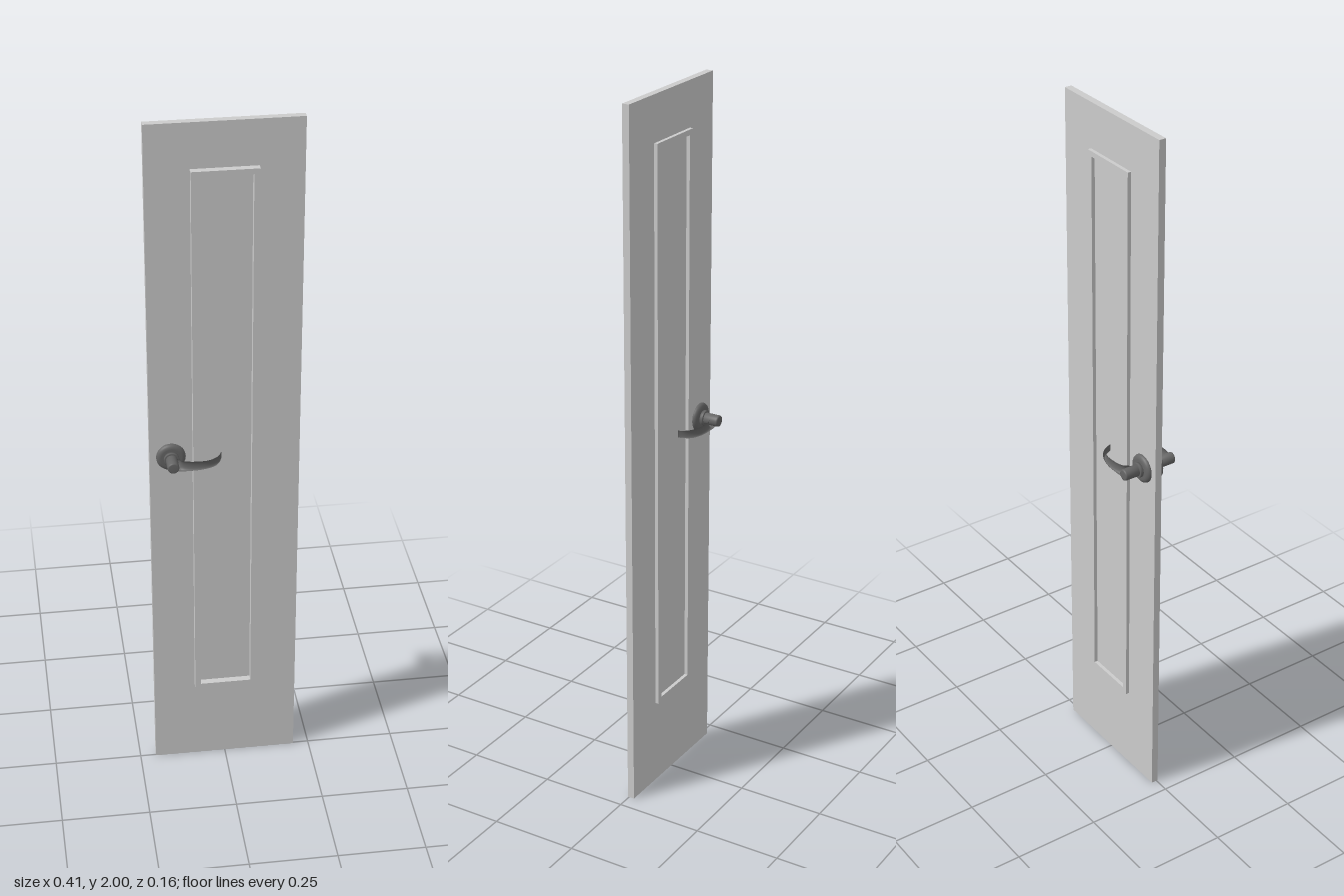
import * as THREE from 'three';

const doorMat = new THREE.MeshStandardMaterial({ color: 0xcccccc });
const metalMat = new THREE.MeshStandardMaterial({ color: 0x666666 });

function addMesh(parent, name, geometry, material) {
  const mesh = new THREE.Mesh(geometry, material);
  mesh.name = name;
  parent.add(mesh);
  return mesh;
}

// Closed loft through elliptical sections: each row is
// [outer x, outer z, inner x, inner z, half height]
function loft(rows, steps, sides) {
  const curve = (i, j) => new THREE.CatmullRomCurve3(
    rows.map(r => new THREE.Vector3(r[i], r[4], r[j])), false, 'centripetal');
  const outer = curve(0, 1), inner = curve(2, 3);
  const pos = [], index = [];
  for (let s = 0; s <= steps; s++) {
    const o = outer.getPoint(s / steps), n = inner.getPoint(s / steps);
    for (let k = 0; k < sides; k++) {
      const a = k / sides * Math.PI * 2;
      const t = (1 + Math.cos(a)) / 2;
      pos.push(n.x + (o.x - n.x) * t, Math.sin(a) * o.y, n.z + (o.z - n.z) * t);
    }
  }
  for (let s = 0; s < steps; s++) {
    for (let k = 0; k < sides; k++) {
      const a = s * sides + k, b = s * sides + (k + 1) % sides;
      index.push(a, b, a + sides, b, b + sides, a + sides);
    }
  }
  const end = steps * sides;
  for (let k = 1; k < sides - 1; k++) {
    index.push(0, k + 1, k, end, end + k, end + k + 1);
  }
  const g = new THREE.BufferGeometry();
  g.setAttribute('position', new THREE.Float32BufferAttribute(pos, 3));
  g.setIndex(index);
  g.computeVertexNormals();
  return g;
}

// Turned part whose axis runs along +z; profile is [radius, z]
function turned(profile) {
  const g = new THREE.LatheGeometry(profile.map(p => new THREE.Vector2(p[0], p[1])), 40);
  return g.rotateX(Math.PI / 2);
}

function createHandle(name) {
  const handle = new THREE.Group();
  handle.name = name;

  // Round plate with a soft rim
  const plate = addMesh(handle, 'rosette', turned([
    [0, 0.010], [0.034, 0.010], [0.038, 0.012], [0.040, 0.016], [0.040, 0.019],
    [0.038, 0.023], [0.034, 0.026], [0.028, 0.028], [0, 0.028]]), metalMat);
  // Stepped collar between plate and hub
  const collar = addMesh(handle, 'collar', turned([
    [0, 0.026], [0.021, 0.026], [0.021, 0.035], [0.019, 0.037], [0, 0.037]]), metalMat);
  // Hub that carries the lever
  const hub = addMesh(handle, 'hub', turned([
    [0, 0.034], [0.016, 0.034], [0.016, 0.076], [0.015, 0.079], [0.012, 0.080], [0, 0.080]]), metalMat);
  for (const part of [plate, collar, hub]) part.position.x = -0.148;

  // Lever flaring out of the hub and curling back towards the door
  addMesh(handle, 'lever', loft([
    [-0.148, 0.080, -0.146, 0.038, 0.016],
    [-0.138, 0.080, -0.131, 0.046, 0.016],
    [-0.122, 0.080, -0.124, 0.059, 0.015],
    [-0.100, 0.079, -0.105, 0.066, 0.014],
    [-0.075, 0.078, -0.078, 0.068, 0.013],
    [-0.050, 0.073, -0.054, 0.065, 0.012],
    [-0.031, 0.064, -0.036, 0.056, 0.012],
    [-0.019, 0.048, -0.023, 0.044, 0.011],
    [-0.012, 0.028, -0.014, 0.028, 0.010]], 40, 24), metalMat);
  return handle;
}

export function createModel() {
  const door = new THREE.Group();
  door.name = 'door';

  // Slab
  addMesh(door, 'doorSlab', new THREE.BoxGeometry(0.41, 2, 0.02), doorMat)
    .position.set(0, 1, -0.006);

  // Raised moulding around the tall panel, standing out on both faces
  const frame = new THREE.Shape([[-0.088, 0.253], [0.088, 0.253], [0.088, 1.875], [-0.088, 1.875]]
    .map(p => new THREE.Vector2(...p)));
  frame.holes.push(new THREE.Path([[-0.072, 0.268], [-0.072, 1.86], [0.072, 1.86], [0.072, 0.268]]
    .map(p => new THREE.Vector2(...p))));
  addMesh(door, 'panelMoulding',
    new THREE.ExtrudeGeometry(frame, { depth: 0.049, bevelEnabled: false }), doorMat)
    .position.z = -0.026;

  // Matching handles on the two faces
  const front = createHandle('frontHandle');
  const back = createHandle('backHandle');
  back.rotation.x = Math.PI;
  for (const h of [front, back]) {
    h.position.y = 1.045;
    door.add(h);
  }
  return door;
}
